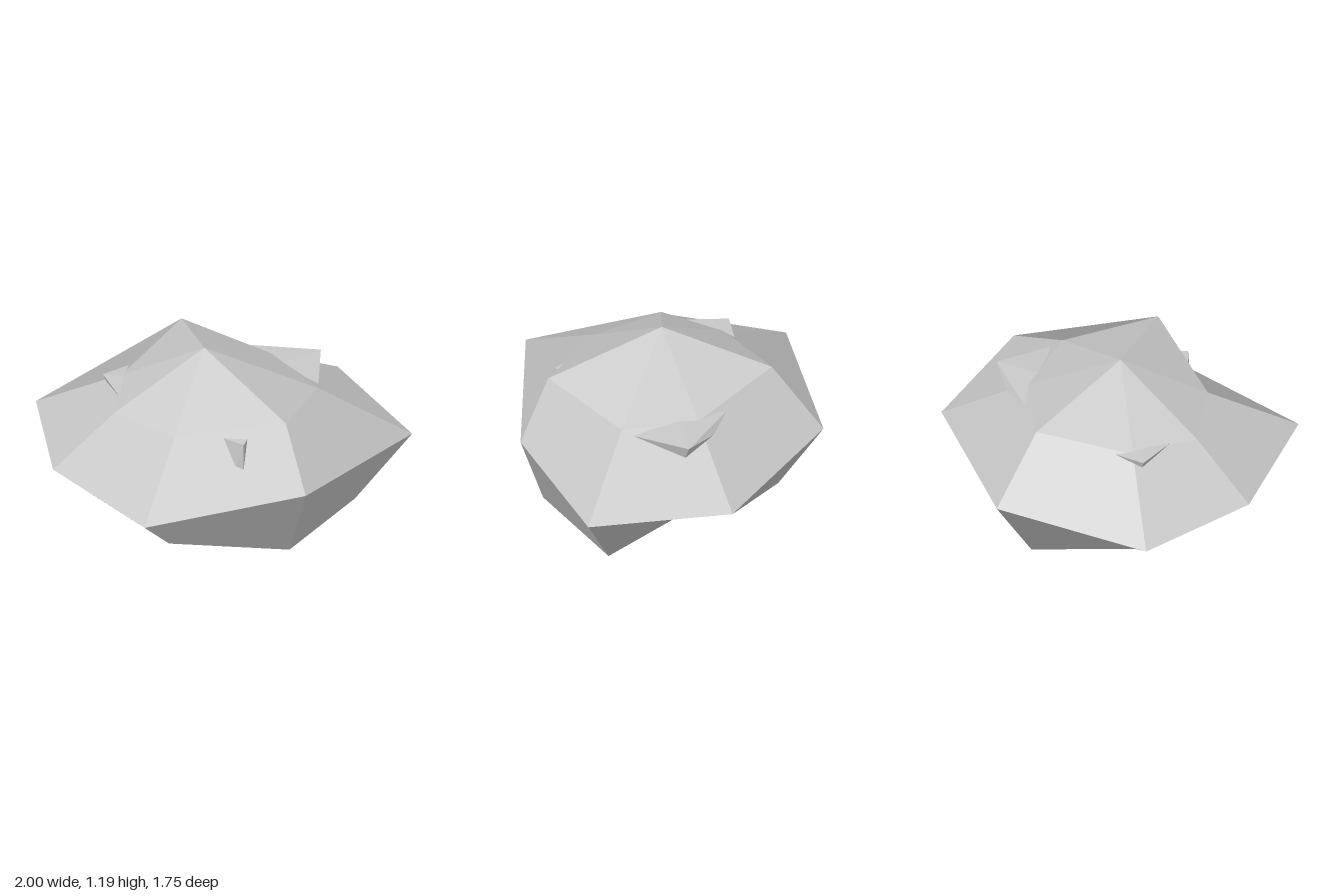
import * as THREE from 'three';
import { ConvexGeometry } from 'three/addons/geometries/ConvexGeometry.js';

const CENTRE = [-0.12, 0.02];

// Seven spokes: equator x and z, then [reach, height] of the upper and lower rings
const SPOKES = [
  { rim: [-1.0, 0.185], upper: [0.595, 0.895], lower: [0.545, 0.32] },
  { rim: [-0.63, 0.87], upper: [0.49, 0.9], lower: [0.59, 0.27] },
  { rim: [0.3, 0.73], upper: [0.805, 1.01], lower: [0.84, 0.205] },
  { rim: [1.0, 0.225], upper: [0.545, 0.92], lower: [0.725, 0.2] },
  { rim: [0.74, -0.53], upper: [0.52, 0.912], lower: [0.51, 0.33] },
  { rim: [-0.12, -0.88], upper: [0.68, 1.0], lower: [0.72, 0.21] },
  { rim: [-0.95, -0.52], upper: [0.49, 0.905], lower: [0.55, 0.3] },
];

// Point on a spoke, a fraction of the way out from the centre
function onSpoke(rim, [reach, y]) {
  const [cx, cz] = CENTRE;
  return new THREE.Vector3(cx + (rim[0] - cx) * reach, y, cz + (rim[1] - cz) * reach);
}

// Rough faceted boulder: peak, three rings and base point, one normal per facet
function boulderGeometry() {
  const top = new THREE.Vector3(CENTRE[0], 1.19, CENTRE[1]);
  const base = new THREE.Vector3(CENTRE[0], 0, CENTRE[1]);
  const rings = SPOKES.map((s) => [
    onSpoke(s.rim, s.upper),
    onSpoke(s.rim, [1, 0.615]),
    onSpoke(s.rim, s.lower),
  ]);
  const positions = [];
  const normals = [];
  const facet = (corners, across, along) => {
    const normal = across.clone().cross(along).normalize();
    for (const p of corners) {
      positions.push(p.x, p.y, p.z);
      normals.push(normal.x, normal.y, normal.z);
    }
  };
  const triangle = (a, b, c) => facet([a, b, c], b.clone().sub(a), c.clone().sub(a));
  const quad = (a, b, c, d) =>
    facet([d, a, c, a, b, c], c.clone().sub(a), d.clone().sub(b));

  rings.forEach((a, i) => {
    const b = rings[(i + 1) % rings.length];
    triangle(top, a[0], b[0]);
    quad(a[0], a[1], b[1], b[0]);
    quad(a[1], a[2], b[2], b[1]);
    triangle(a[2], base, b[2]);
  });
  const geometry = new THREE.BufferGeometry();
  geometry.setAttribute('position', new THREE.Float32BufferAttribute(positions, 3));
  geometry.setAttribute('normal', new THREE.Float32BufferAttribute(normals, 3));
  return geometry;
}

// Half-buried chips poking out of the surface
const CHIPS = {
  frontChip: [
    [-0.115, 0.91, 0.515], [0.01, 0.91, 0.555], [-0.02, 0.905, 0.6],
    [-0.02, 0.745, 0.6], [-0.06, 0.755, 0.58], [-0.05, 0.85, 0.45],
  ],
  leftChip: [
    [0.59, 0.912, -0.26], [0.51, 0.9, 0.06], [0.2, 0.908, -0.4],
    [0.38, 0.87, -0.36], [0.555, 0.825, -0.235], [0.33, 0.92, -0.15],
  ],
  rightChip: [
    [-0.63, 0.91, -0.26], [-0.45, 0.91, -0.33], [-0.58, 0.905, 0],
    [-0.61, 0.865, -0.25], [-0.5, 0.915, -0.2],
  ],
  tinyChip: [
    [-0.54, 0.898, 0.23], [-0.515, 0.898, 0.255], [-0.53, 0.885, 0.265], [-0.5, 0.87, 0.2],
  ],
};

export function createModel() {
  const stone = new THREE.MeshStandardMaterial({ color: 0xc8c8c8 });
  stone.name = 'stone grey';
  const group = new THREE.Group();
  group.name = 'rock';

  const add = (name, geometry) => {
    const mesh = new THREE.Mesh(geometry, stone);
    mesh.name = name;
    group.add(mesh);
  };

  add('boulder', boulderGeometry());
  for (const [name, points] of Object.entries(CHIPS)) {
    add(name, new ConvexGeometry(points.map((p) => new THREE.Vector3(...p))));
  }
  return group;
}
